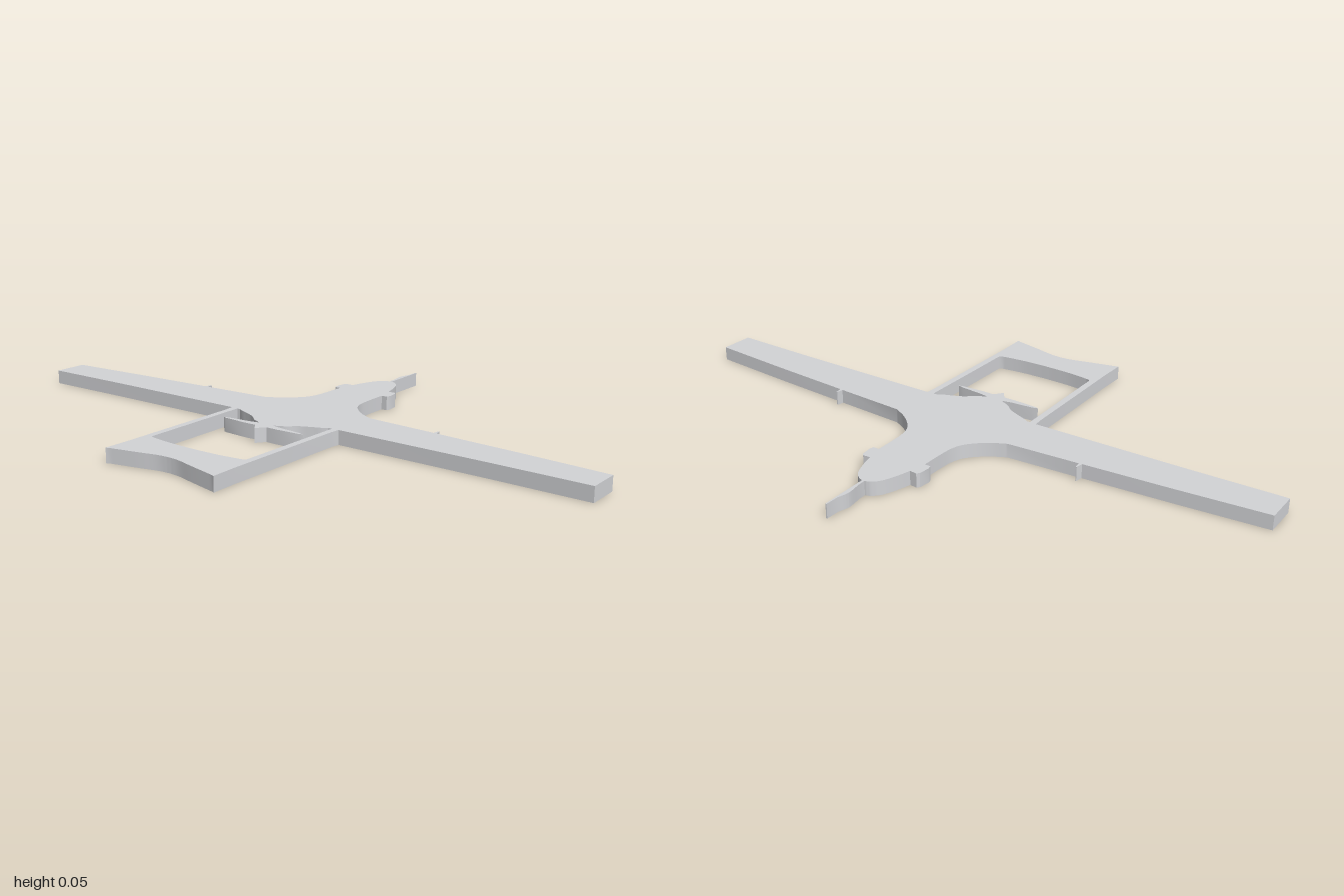
import * as THREE from 'three';
import { toCreasedNormals } from 'three/addons/utils/BufferGeometryUtils.js';

const THICKNESS = 0.045;

// Points are [x, z]; the shape plane uses y = -z.
const vec = ([x, z]) => new THREE.Vector2(x, -z);
const straight = (...pts) => pts.map(vec);
const smooth = (...pts) => new THREE.SplineCurve(pts.map(vec)).getPoints(pts.length * 4);

// Mirror a half outline that starts and ends on the centre line.
function mirrored(half) {
  const other = half.slice(1, -1).reverse().map((p) => new THREE.Vector2(-p.x, p.y));
  return [...half, ...other];
}

export function createModel() {
  const group = new THREE.Group();
  group.name = 'aircraft';
  const grey = new THREE.MeshStandardMaterial({ color: 0xd3d4d7 });
  grey.name = 'grey';

  function plate(name, shape) {
    const geo = new THREE.ExtrudeGeometry(shape, { depth: THICKNESS, bevelEnabled: false });
    geo.rotateX(-Math.PI / 2);
    const mesh = new THREE.Mesh(toCreasedNormals(geo, 0.45), grey);
    mesh.name = name;
    group.add(mesh);
  }

  // Fuselage, sensor pods, wings, antennas, booms and tailplane in one plate
  const outline = mirrored([
    ...smooth([0, -0.475], [0.02, -0.468], [0.042, -0.445], [0.06, -0.4], [0.072, -0.356]),
    ...straight([0.095, -0.358], [0.102, -0.35], [0.106, -0.315], [0.102, -0.301], [0.083, -0.301]),
    ...smooth([0.083, -0.29], [0.084, -0.23], [0.088, -0.18], [0.101, -0.142],
      [0.13, -0.108], [0.165, -0.081], [0.205, -0.06]),
    ...straight([0.436, -0.046], [0.439, -0.068], [0.442, -0.068], [0.446, -0.045]),
    ...straight([0.72, -0.027], [1, -0.005], [1, 0.105], [0.7, 0.1], [0.204, 0.098]),
    ...straight([0.201, 0.13], [0.199, 0.35], [0.197, 0.54], [0.199, 0.63]),
    ...smooth([0.19, 0.626], [0.1, 0.605], [0.04, 0.59], [0, 0.586]),
  ]);

  // Opening between the booms, leaving the tapered tail, propeller and spinner
  const opening = mirrored([
    ...straight([0, 0.233], [0.014, 0.213], [0.022, 0.204]),
    ...straight([0.06, 0.205], [0.14, 0.2], [0.15, 0.196], [0.13, 0.191], [0.06, 0.185], [0.028, 0.179]),
    ...smooth([0.035, 0.174], [0.06, 0.162], [0.09, 0.137], [0.125, 0.121], [0.15, 0.111], [0.17, 0.1]),
    ...straight([0.181, 0.1], [0.178, 0.3], [0.176, 0.474]),
    ...smooth([0.165, 0.479], [0.09, 0.488], [0, 0.491]),
  ]).reverse();

  const airframe = new THREE.Shape(outline);
  airframe.holes.push(new THREE.Path(opening));
  plate('airframe', airframe);

  // Thin nose probe with a slight bulge on one side
  plate('noseProbe', new THREE.Shape([
    ...straight([-0.002, -0.63], [0.002, -0.63], [0.004, -0.474], [-0.004, -0.474]),
    ...smooth([-0.005, -0.5], [-0.011, -0.54], [-0.01, -0.56], [-0.003, -0.585]),
  ]));

  return group;
}
